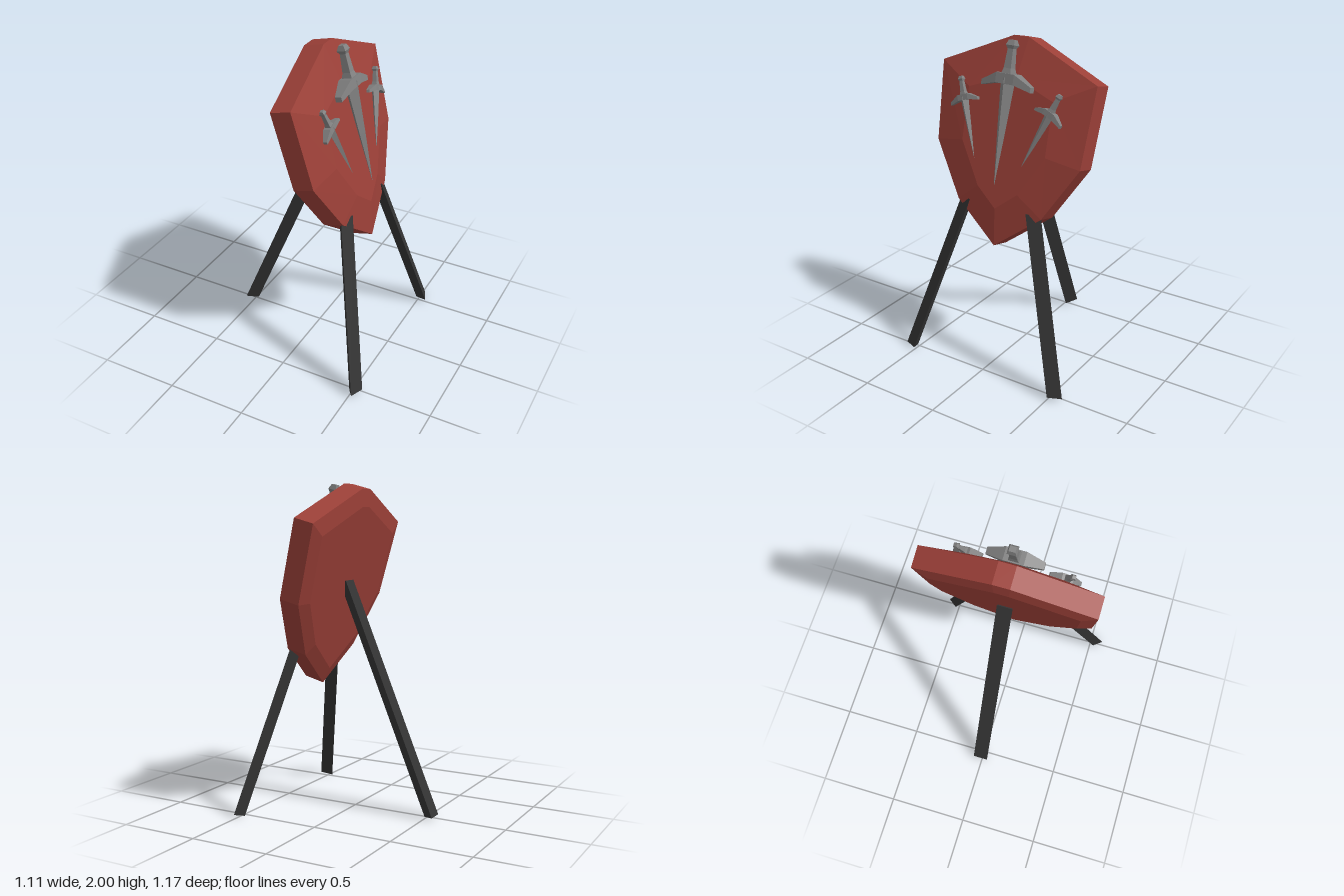
import * as THREE from 'three';

const paint = (color) => new THREE.MeshStandardMaterial({ color, flatShading: true, side: THREE.DoubleSide });
const red = paint(0x9c4038), steel = paint(0x808080), dark = paint(0x333333);

// Skin a row of equal-length rings of [x, y, z] points and cap both ends
function loft(name, rings, material) {
  const n = rings[0].length, tris = [];
  for (let r = 0; r < rings.length - 1; r++) {
    for (let i = 0; i < n; i++) {
      const j = (i + 1) % n, a = rings[r], b = rings[r + 1];
      tris.push([a[i], a[j], b[j]], [a[i], b[j], b[i]]);
    }
  }
  const first = rings[0], last = rings[rings.length - 1];
  for (let i = 1; i < n - 1; i++) {
    tris.push([first[0], first[i + 1], first[i]], [last[0], last[i], last[i + 1]]);
  }
  // Turn every triangle outward, using the sign of the enclosed volume
  const v = (p) => new THREE.Vector3(...p);
  const volume = tris.reduce((s, [a, b, c]) => s + v(a).dot(v(b).cross(v(c))), 0);
  if (volume < 0) tris.forEach((t) => t.reverse());
  const geometry = new THREE.BufferGeometry();
  geometry.setAttribute('position', new THREE.Float32BufferAttribute(tris.flat(2), 3));
  geometry.computeVertexNormals();
  const mesh = new THREE.Mesh(geometry, material);
  mesh.name = name;
  return mesh;
}

// Mirror a half outline of [y, z] points (the last one is the tip) at depth x
function shieldRing(x, half, scale = 1) {
  const other = half.slice(0, -1).reverse().map(([y, z]) => [y, -z]);
  return [...half, ...other].map(([y, z]) => [x, y * scale, z * scale]);
}

const box = (y, hx, hz) => [[-hx, y, -hz], [hx, y, -hz], [hx, y, hz], [-hx, y, hz]];
const diamond = (y, hx, hz) => [[-hx, y, 0], [0, y, -hz], [hx, y, 0], [0, y, hz]];
const guardRing = (z, top, bottom, hx) => [[-hx, top, z], [hx, top, z], [hx, bottom, z], [-hx, bottom, z]];

function dagger(name) {
  const g = new THREE.Group();
  g.name = name;
  g.add(loft('blade', [diamond(0.02, 0.045, 0.05), diamond(-0.3, 0.025, 0.027), diamond(-0.61, 0.001, 0.001)], steel));
  g.add(loft('guard', [
    guardRing(-0.168, -0.012, -0.042, 0.02),
    guardRing(-0.06, 0.045, -0.015, 0.04),
    guardRing(0.06, 0.045, -0.015, 0.04),
    guardRing(0.168, -0.012, -0.042, 0.02),
  ], steel));
  g.add(loft('handle', [box(0.03, 0.035, 0.035), box(0.075, 0.025, 0.024), box(0.19, 0.018, 0.018)], steel));
  g.add(loft('pommel', [box(0.185, 0.019, 0.019), box(0.205, 0.028, 0.028), box(0.235, 0.016, 0.019)], steel));
  return g;
}

// Three-sided leg: foot triangle swept straight along a slanted path
function leg(name, foot, rise) {
  const top = foot.map((p) => p.map((c, i) => c + rise[i]));
  return loft(name, [foot, top], dark);
}

export function createModel() {
  const model = new THREE.Group();
  model.name = 'shieldOnTripod';

  // Shield, leaning back and facing +x
  const shield = new THREE.Group();
  shield.name = 'shield';
  shield.position.set(0.08, 1.37, 0);
  shield.rotation.z = THREE.MathUtils.degToRad(14.5);
  const outline = [[0.62, 0.05], [0.413, 0.53], [-0.07, 0.5], [-0.4, 0.295], [-0.625, 0]];
  const plate = [[0.38, 0.03], [0.285, 0.29], [-0.035, 0.29], [-0.283, 0.14], [-0.395, 0]];
  shield.add(loft('shieldBody', [
    shieldRing(-0.025, outline, 0.83),
    shieldRing(0, outline),
    shieldRing(0.13, outline),
    shieldRing(0.176, plate),
  ], red));

  // One large dagger between two small tilted ones
  const centre = dagger('largeDagger');
  centre.position.set(0.215, 0.358, 0);
  shield.add(centre);
  for (const side of [1, -1]) {
    const small = dagger(side > 0 ? 'smallDaggerLeft' : 'smallDaggerRight');
    small.scale.setScalar(0.575);
    small.position.set(0.2, 0.21, side * 0.293);
    small.rotation.x = side * THREE.MathUtils.degToRad(side > 0 ? 20 : 23);
    shield.add(small);
  }
  model.add(shield);

  // Tripod
  model.add(leg('rearLeg', [[-0.555, 0.015, 0.035], [-0.555, 0.015, -0.06], [-0.485, 0, -0.01]], [0.59, 1.405, 0]));
  for (const s of [1, -1]) {
    const foot = [[0.52, 0.015, 0.583 * s], [0.555, 0.015, 0.5 * s], [0.48, 0, 0.525 * s]];
    model.add(leg(s > 0 ? 'frontLegLeft' : 'frontLegRight', foot, [-0.232, 1.02, -0.3 * s]));
  }
  return model;
}
